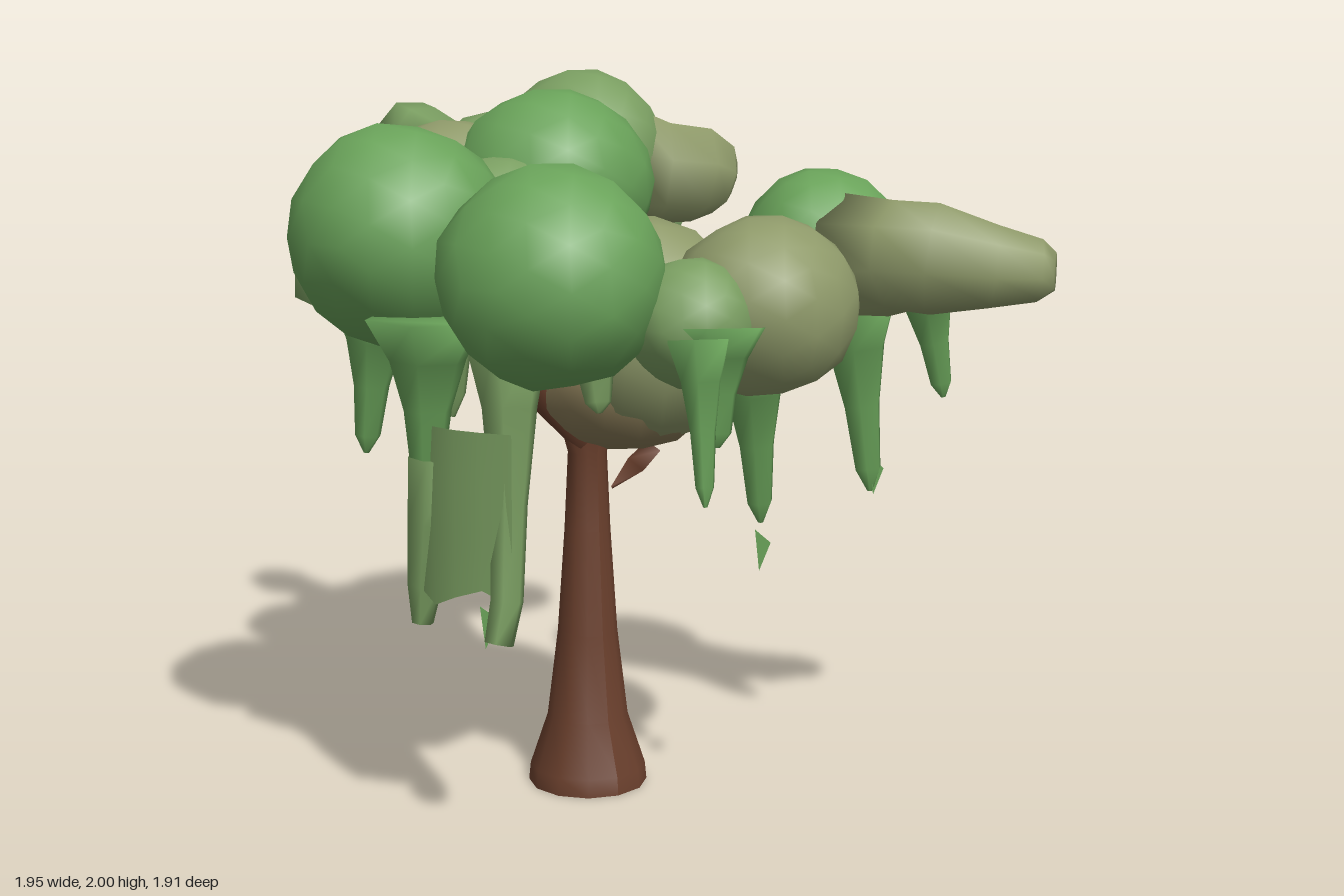
import * as THREE from 'three';
import { mergeVertices } from 'three/addons/utils/BufferGeometryUtils.js';

const mat = (color) => new THREE.MeshStandardMaterial({ color, side: THREE.DoubleSide });

export function createModel() {
  const tree = new THREE.Group();
  tree.name = 'tree';
  const green = mat(0x6aa35a), olive = mat(0x8f9a6a), mid = mat(0x7b9f62);
  const bark = mat(0x6b402d), underside = mat(0x8a7c58);

  const add = (name, geometry, material) => {
    const mesh = new THREE.Mesh(geometry, material);
    mesh.name = name;
    tree.add(mesh);
    return mesh;
  };

  // Lumpy low-poly ellipsoid with smooth normals
  function blob(name, material, [x, y, z], [rx, ry, rz], detail = 2) {
    let g = new THREE.IcosahedronGeometry(1, detail);
    g.deleteAttribute('normal');
    g.deleteAttribute('uv');
    g = mergeVertices(g, 1e-3);
    const p = g.attributes.position, v = new THREE.Vector3();
    for (let i = 0; i < p.count; i++) {
      v.fromBufferAttribute(p, i);
      const k = 1 + 0.035 * Math.sin(v.x * 4 + x * 9) * Math.cos(v.y * 3 + v.z * 4 + z * 7);
      p.setXYZ(i, x + v.x * rx * k, y + v.y * ry * k, z + v.z * rz * k);
    }
    g.computeVertexNormals();
    return add(name, g, material);
  }

  // Closed limb swept through [x, y, z, radius] stations
  function limb(name, material, stations, sides = 6) {
    const pts = stations.map(([x, y, z]) => new THREE.Vector3(x, y, z));
    const pos = [], index = [];
    const last = pts.length - 1;
    let u = new THREE.Vector3(0.31, 0.11, 0.95);
    pts.forEach((c, i) => {
      const t = pts[Math.min(i + 1, last)].clone().sub(pts[Math.max(i - 1, 0)]).normalize();
      u = u.clone().addScaledVector(t, -u.dot(t)).normalize();
      const w = t.clone().cross(u);
      for (let s = 0; s < sides; s++) {
        const a = (s / sides) * Math.PI * 2, r = stations[i][3];
        const q = c.clone().addScaledVector(u, Math.cos(a) * r).addScaledVector(w, Math.sin(a) * r);
        pos.push(q.x, q.y, q.z);
      }
    });
    for (let i = 0; i < last; i++) for (let s = 0; s < sides; s++) {
      const a = i * sides + s, b = i * sides + ((s + 1) % sides);
      index.push(a, b, b + sides, a, b + sides, a + sides);
    }
    for (let s = 1; s < sides - 1; s++) {
      index.push(0, s + 1, s);
      index.push(last * sides, last * sides + s, last * sides + s + 1);
    }
    const g = new THREE.BufferGeometry();
    g.setAttribute('position', new THREE.Float32BufferAttribute(pos, 3));
    g.setIndex(index);
    g.computeVertexNormals();
    return add(name, g, material);
  }

  // Flared trunk with a notched root edge at the back
  const profile = [[0.17, 0], [0.165, 0.05], [0.115, 0.2], [0.085, 0.45], [0.065, 0.75], [0.055, 0.97], [0.09, 1.1]];
  const trunk = new THREE.LatheGeometry(profile.map(([r, y]) => new THREE.Vector2(r, y)), 12);
  const tp = trunk.attributes.position;
  for (let i = 0; i < tp.count; i++) {
    if (tp.getY(i) < 0.01 && tp.getZ(i) < -0.05 && Math.round(i / profile.length) % 2) tp.setY(i, 0.045);
  }
  trunk.translate(-0.13, 0, 0.13);
  trunk.computeVertexNormals();
  add('trunk', trunk, bark);

  // Branches reaching from the heart of the crown
  [
    [[0.08, 1.02, 0.2, 0.03], [0.24, 1.12, 0.22, 0.035], [0.42, 1.34, 0.25, 0.05]],
    [[-0.05, 1.15, 0.05, 0.06], [0, 1.38, -0.1, 0.05], [0.05, 1.6, -0.28, 0.06]],
    [[-0.15, 1.02, 0.15, 0.05], [-0.32, 1.2, 0.15, 0.06], [-0.5, 1.42, 0.15, 0.06]],
    [[-0.08, 1.1, 0.3, 0.05], [-0.02, 1.2, 0.45, 0.05], [0.03, 1.35, 0.6, 0.05]],
  ].forEach((s) => limb('branch', bark, s, 5));
  limb('brokenTwig', bark, [[0.08, 0.96, 0.15, 0.03], [0.02, 0.91, 0.15, 0.035], [-0.06, 0.86, 0.15, 0.005]], 3);

  // Crown masses
  blob('crownHeart', olive, [-0.01, 1.32, 0.2], [0.29, 0.32, 0.34]);
  blob('crownUnderside', underside, [-0.03, 1.2, 0.17], [0.28, 0.225, 0.27]);
  blob('leftBackFoliage', green, [-0.67, 1.61, 0.06], [0.3, 0.3, 0.31]);
  blob('leftFrontFoliage', green, [-0.48, 1.54, 0.55], [0.3, 0.29, 0.3]);
  blob('frontFoliage', olive, [0.08, 1.44, 0.69], [0.26, 0.24, 0.245]);
  blob('frontFoliageEdge', mid, [-0.17, 1.42, 0.72], [0.17, 0.17, 0.18]);
  blob('topFoliage', green, [-0.09, 1.71, -0.13], [0.29, 0.26, 0.29]);
  blob('backFoliage', mid, [0.18, 1.76, -0.42], [0.25, 0.24, 0.27]);
  blob('backMiddleFoliage', mid, [-0.06, 1.68, -0.48], [0.23, 0.21, 0.22]);
  blob('backLeftFoliage', olive, [-0.3, 1.67, -0.33], [0.23, 0.21, 0.24]);
  blob('backCornerFoliage', olive, [0.26, 1.76, -0.58], [0.12, 0.16, 0.12], 1);
  blob('leftBridge', mid, [-0.33, 1.6, -0.02], [0.24, 0.2, 0.22]);
  blob('innerFoliage', mid, [-0.26, 1.57, 0.2], [0.13, 0.15, 0.16], 1);
  blob('rightFoliage', green, [0.57, 1.5, 0.27], [0.24, 0.245, 0.235]);

  // Stubby foliage arms
  limb('rightArm', olive, [[0.58, 1.5, 0.4, 0.19], [0.63, 1.52, 0.56, 0.16], [0.67, 1.52, 0.66, 0.16],
    [0.8, 1.5, 0.75, 0.12], [0.91, 1.49, 0.82, 0.09], [0.94, 1.49, 0.85, 0.055]], 8);
  limb('backArm', mid, [[-0.1, 1.72, -0.5, 0.12], [-0.13, 1.76, -0.68, 0.08], [-0.18, 1.78, -0.79, 0.11],
    [-0.17, 1.8, -0.89, 0.1], [-0.16, 1.8, -0.94, 0.06]], 7);
  limb('backRightArm', olive, [[0.26, 1.72, -0.36, 0.2], [0.38, 1.7, -0.3, 0.16], [0.5, 1.69, -0.28, 0.15],
    [0.58, 1.67, -0.27, 0.11], [0.61, 1.66, -0.26, 0.06]], 7);
  limb('leftTuft', mid, [[-0.72, 1.5, -0.1, 0.17], [-0.77, 1.5, -0.2, 0.13], [-0.77, 1.5, -0.33, 0.01]], 5);
  limb('innerTuft', green, [[0.45, 1.45, 0.3, 0.1], [0.34, 1.44, 0.32, 0.05], [0.23, 1.43, 0.34, 0.01]], 5);

  // Hanging foliage: [material, top x y z, tip x y z, top radius]
  [
    [green, 0.09, 1.32, 0.62, 0.14, 0.83, 0.6, 0.1],
    [green, -0.16, 1.42, 0.82, -0.18, 1.12, 0.86, 0.11],
    [green, -0.22, 1.4, 0.84, -0.24, 0.98, 0.9, 0.07],
    [green, 0.6, 1.38, 0.38, 0.65, 0.82, 0.42, 0.11],
    [green, 0.72, 1.46, 0.55, 0.78, 1.11, 0.58, 0.09],
    [mid, 0.13, 1.62, -0.43, 0.16, 0.87, -0.47, 0.12],
    [mid, -0.25, 1.58, -0.38, -0.27, 0.99, -0.42, 0.1],
    [mid, 0.42, 1.62, -0.36, 0.46, 1.18, -0.52, 0.09],
    [mid, 0.1, 1.58, -0.25, 0.1, 1.22, -0.18, 0.1],
    [green, -0.7, 1.42, -0.02, -0.73, 1, -0.05, 0.1],
    [green, -0.71, 1.42, 0.3, -0.72, 0.98, 0.3, 0.13],
    [mid, -0.35, 1.4, 0.52, -0.36, 1.18, 0.58, 0.1],
  ].forEach(([m, x, y, z, X, Y, Z, r]) => {
    const at = (t, k) => [x + (X - x) * t, y + (Y - y) * t, z + (Z - z) * t, r * k];
    limb('hangingFoliage', m, [at(0, 1.3), at(0.25, 0.8), at(0.55, 0.5), at(0.88, 0.36), at(1, 0.08)], 6);
  });

  // Long strands and the curtain hung between them
  limb('longStrand', mid, [[-0.56, 1.4, 0.45, 0.12], [-0.57, 1.2, 0.48, 0.075], [-0.59, 0.95, 0.51, 0.05],
    [-0.61, 0.7, 0.53, 0.045], [-0.64, 0.59, 0.54, 0.04]]);
  limb('shortStrand', mid, [[-0.7, 1.05, 0.3, 0.07], [-0.71, 0.88, 0.29, 0.06], [-0.71, 0.7, 0.26, 0.05], [-0.72, 0.59, 0.26, 0.03]]);
  const curtain = new THREE.PlaneGeometry(0.34, 0.45, 5, 3);
  const cp = curtain.attributes.position;
  for (let i = 0; i < cp.count; i++) {
    const t = cp.getX(i) / 0.34 + 0.5, y = cp.getY(i);
    cp.setXYZ(i, -0.73 + 0.12 * t - 0.05 * Math.sin(t * Math.PI), 0.92 + y + (y < -0.1 ? 0.03 * Math.cos(t * 8) : 0), 0.22 + 0.34 * t);
  }
  curtain.computeVertexNormals();
  add('hangingCurtain', curtain, mid);

  // Loose leaf slivers at the strand tips
  [[0.13, 0.76, 0.62], [0.66, 0.87, 0.43], [-0.65, 0.63, 0.5]].forEach(([x, y, z]) => {
    const leaf = new THREE.Shape([[-0.03, 0.06], [0.04, 0.01], [-0.01, -0.06]].map(([a, b]) => new THREE.Vector2(a, b)));
    const mesh = add('leafSliver', new THREE.ShapeGeometry(leaf), green);
    mesh.position.set(x, y, z);
    mesh.rotation.y = 0.3;
  });

  return tree;
}
